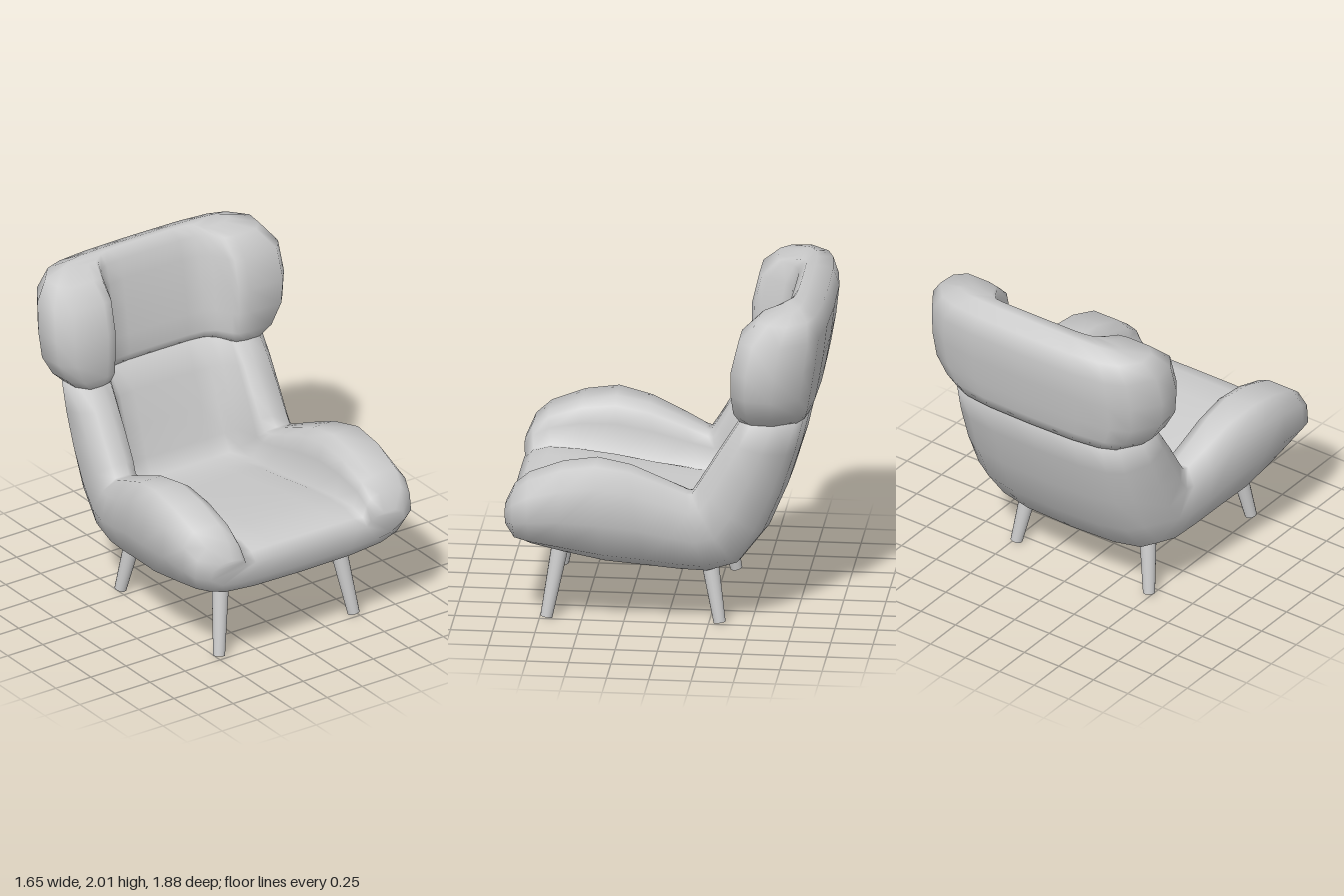
import * as THREE from 'three';

const material = new THREE.MeshStandardMaterial({ color: 0xcccccc });

// Half of the U-shaped cross-section, from the centre line out to the rim.
// Each point is [fraction of width, fraction of the way to the rim].
const OUTER = [[0, 0], [0.45, 0.015], [0.72, 0.07], [0.87, 0.18], [1, 0.5], [0.985, 0.82], [0.9, 1]];
const INNER_SEAT = [[0, 0], [0.5, 0], [0.85, -0.02], [1, -0.1], [1.05, 0.5], [1.11, 0.85], [1.26, 1]];
const INNER_BACK = [[0, 0], [0.5, 0.01], [0.75, 0.07], [0.89, 0.28], [1, 0.75], [1.05, 0.92], [1.2, 1]];
const K = OUTER.length, N = 4 * K - 2;
const mix = THREE.MathUtils.lerp;

// Closed loop of points for one section:
// [outer z, y,  inner z, y,  rim z, y,  half width, inner half width, seat-to-back blend]
function sectionLoop([oz, oy, sz, sy, rz, ry, width, innerWidth, blend]) {
  const outer = OUTER.map(([u, t]) => [u * width, mix(oy, ry, t), mix(oz, rz, t)]);
  const inner = INNER_SEAT.map(([u, t], i) => {
    const f = mix(t, INNER_BACK[i][1], blend);
    return [mix(u, INNER_BACK[i][0], blend) * innerWidth, mix(sy, ry, f), mix(sz, rz, f)];
  });
  const flip = ([x, y, z]) => [-x, y, z];
  return [
    ...outer, ...inner.slice().reverse(),
    ...inner.slice(1).map(flip), ...outer.slice(1).reverse().map(flip),
  ];
}

// Skin a row of U sections and close both ends
function loftShell(name, sections) {
  const index = [];
  const quad = (a, b, c, d) => index.push(a, b, c, a, c, d);
  for (let s = 0; s < sections.length - 1; s++) {
    for (let j = 0; j < N; j++) {
      const a = s * N + j, b = s * N + (j + 1) % N;
      quad(a, a + N, b + N, b);
    }
  }
  const last = (sections.length - 1) * N;
  const partner = (j) => (2 * K - 1 - j + N) % N;
  for (let i = 0; i < K - 1; i++) {
    for (const j of [i, N - 1 - i]) {
      const k = (j + 1) % N;
      quad(j, k, partner(k), partner(j));
      quad(last + j, last + partner(j), last + partner(k), last + k);
    }
  }
  const geometry = new THREE.BufferGeometry();
  geometry.setAttribute('position', new THREE.Float32BufferAttribute(sections.flatMap(sectionLoop).flat(), 3));
  geometry.setIndex(index);
  geometry.computeVertexNormals();
  const mesh = new THREE.Mesh(geometry, material);
  mesh.name = name;
  return mesh;
}

// Tapered leg between two points
function makeLeg(name, foot, top) {
  const a = new THREE.Vector3(...foot), b = new THREE.Vector3(...top);
  const direction = b.clone().sub(a);
  const geometry = new THREE.CylinderGeometry(0.052, 0.036, direction.length(), 16);
  const leg = new THREE.Mesh(geometry, material);
  leg.position.copy(a).add(b).multiplyScalar(0.5);
  leg.quaternion.setFromUnitVectors(new THREE.Vector3(0, 1, 0), direction.normalize());
  leg.name = name;
  return leg;
}

export function createModel() {
  const chair = new THREE.Group();
  chair.name = 'wingArmchair';

  // Seat, arms and lower back in one sweep, from the front edge round and up
  chair.add(loftShell('seatAndBackShell', [
    [0.925, 0.56, 0.93, 0.68, 0.94, 0.74, 0.69, 0.43, 0],
    [0.88, 0.49, 0.88, 0.73, 0.89, 0.85, 0.77, 0.43, 0],
    [0.79, 0.455, 0.78, 0.76, 0.8, 0.925, 0.8, 0.43, 0],
    [0.6, 0.405, 0.6, 0.755, 0.6, 1.0, 0.81, 0.43, 0],
    [0.35, 0.35, 0.38, 0.73, 0.4, 1.03, 0.805, 0.43, 0],
    [0.1, 0.32, 0.15, 0.69, 0.2, 0.99, 0.765, 0.43, 0],
    [-0.08, 0.3, -0.1, 0.65, 0, 0.905, 0.73, 0.43, 0.05],
    [-0.25, 0.29, -0.27, 0.62, -0.13, 0.845, 0.7, 0.43, 0.3],
    [-0.44, 0.35, -0.38, 0.63, -0.16, 0.84, 0.69, 0.43, 0.6],
    [-0.6, 0.56, -0.43, 0.74, -0.2, 0.9, 0.69, 0.43, 0.9],
    [-0.71, 0.82, -0.49, 0.93, -0.29, 1.05, 0.69, 0.43, 1],
    [-0.79, 1.08, -0.56, 1.13, -0.37, 1.18, 0.685, 0.43, 1],
    [-0.85, 1.34, -0.64, 1.34, -0.47, 1.34, 0.67, 0.43, 1],
  ]));

  // Padded headrest with side wings
  chair.add(loftShell('wingedHeadrest', [
    [-0.845, 1.29, -0.63, 1.295, -0.45, 1.29, 0.66, 0.43, 1],
    [-0.87, 1.36, -0.615, 1.35, -0.415, 1.37, 0.74, 0.42, 1],
    [-0.895, 1.48, -0.625, 1.48, -0.405, 1.5, 0.81, 0.42, 1],
    [-0.925, 1.65, -0.65, 1.65, -0.405, 1.65, 0.825, 0.42, 1],
    [-0.945, 1.83, -0.68, 1.82, -0.45, 1.84, 0.81, 0.42, 1],
    [-0.91, 1.945, -0.71, 1.935, -0.56, 1.945, 0.73, 0.42, 1],
    [-0.81, 1.99, -0.755, 2.0, -0.7, 1.975, 0.58, 0.37, 1],
  ]));

  // Splayed legs, mirrored left and right
  for (const [side, x] of [['Left', 1], ['Right', -1]]) {
    chair.add(makeLeg(`front${side}Leg`, [0.48 * x, 0, 0.71], [0.415 * x, 0.45, 0.63]));
    chair.add(makeLeg(`back${side}Leg`, [0.48 * x, 0, -0.315], [0.425 * x, 0.37, -0.25]));
  }
  return chair;
}
